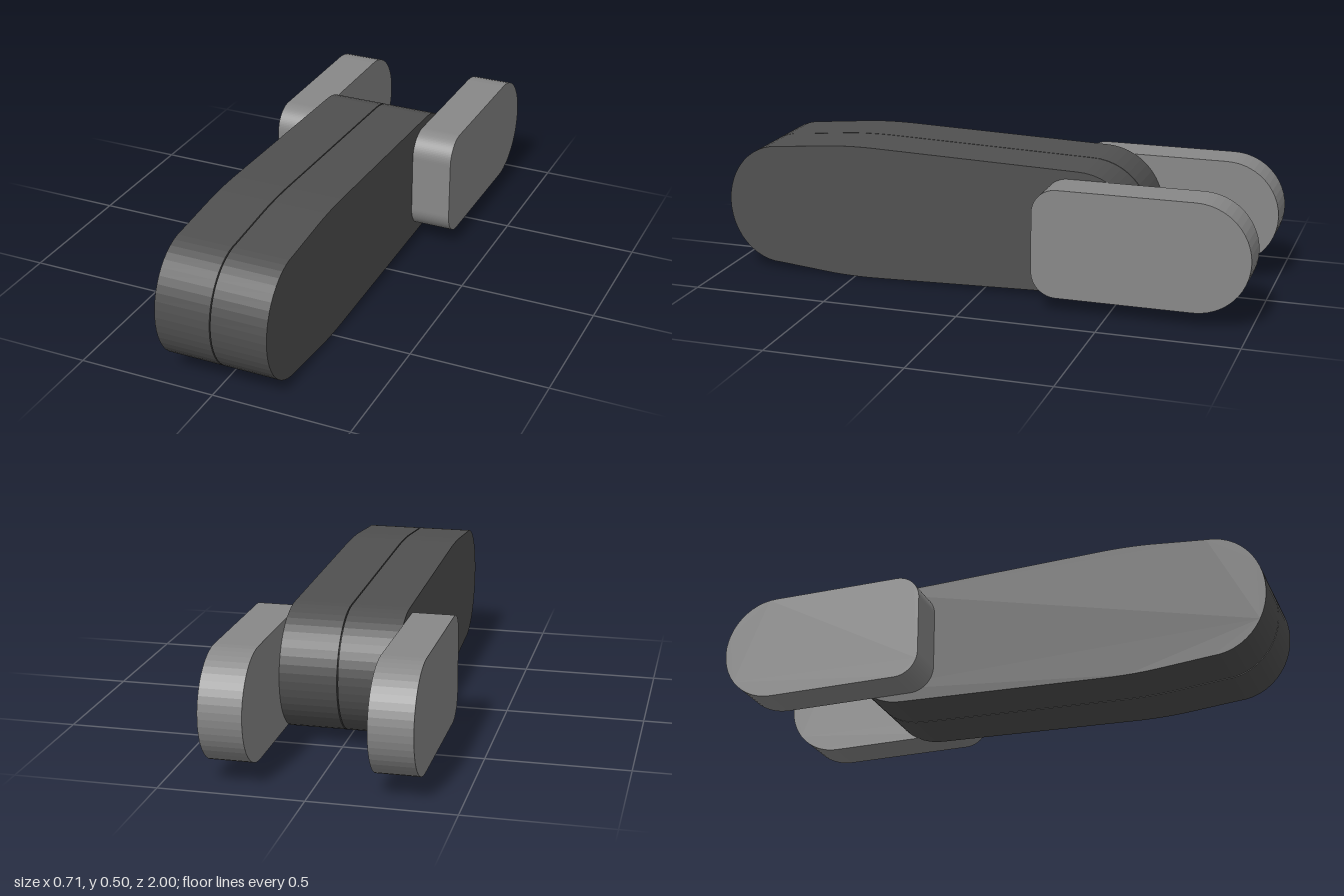
import * as THREE from 'three';

const MID = 0.252; // height of the horizontal symmetry axis
const dark = new THREE.MeshStandardMaterial({ color: 0x505050 });
const light = new THREE.MeshStandardMaterial({ color: 0x888888 });

// Extrudes a side profile (z, y) across the model from x0 to x1
function slab(name, shape, x0, x1, material) {
  const geo = new THREE.ExtrudeGeometry(shape, { depth: x1 - x0, bevelEnabled: false, curveSegments: 12 });
  geo.rotateY(-Math.PI / 2);
  geo.translate(x1, MID, 0);
  const mesh = new THREE.Mesh(geo, material);
  mesh.name = name;
  return mesh;
}

// Long body: rounded ends, fullest a little behind the nose; inset shrinks it
function bodyShape(inset = 0) {
  const h = 0.225 - inset, top = 0.25 - inset;
  const s = new THREE.Shape();
  s.moveTo(-0.35, -h);
  s.lineTo(0.4, -top + 0.002);
  s.quadraticCurveTo(0.52, -top - 0.002, 0.62, -top + 0.008);
  s.lineTo(0.8, -h);
  s.absellipse(0.8, 0, 0.2 - inset, h, -Math.PI / 2, Math.PI / 2, false);
  s.lineTo(0.62, top - 0.008);
  s.quadraticCurveTo(0.52, top + 0.002, 0.4, top - 0.002);
  s.lineTo(-0.35, h);
  s.absellipse(-0.35, 0, 0.22 - inset, h, Math.PI / 2, Math.PI * 1.5, false);
  return s;
}

// Side arm: semicircular rear end, small rounded corners at the front
function armShape() {
  const h = 0.196, r = 0.09, front = -0.227;
  const s = new THREE.Shape();
  s.moveTo(-1 + h, -h);
  s.lineTo(front - r, -h);
  s.absarc(front - r, -h + r, r, -Math.PI / 2, 0, false);
  s.lineTo(front, h - r);
  s.absarc(front - r, h - r, r, 0, Math.PI / 2, false);
  s.lineTo(-1 + h, h);
  s.absarc(-1 + h, 0, h, Math.PI / 2, Math.PI * 1.5, false);
  return s;
}

export function createModel() {
  const model = new THREE.Group();
  model.name = 'model';

  // Two body halves with a fine seam, closed by a recessed core
  model.add(slab('leftBodyHalf', bodyShape(), 0.002, 0.205, dark));
  model.add(slab('rightBodyHalf', bodyShape(), -0.205, -0.002, dark));
  model.add(slab('seamCore', bodyShape(0.01), -0.002, 0.002, dark));

  // Arms flanking the rear of the body
  model.add(slab('leftArm', armShape(), 0.205, 0.355, light));
  model.add(slab('rightArm', armShape(), -0.355, -0.205, light));

  return model;
}
